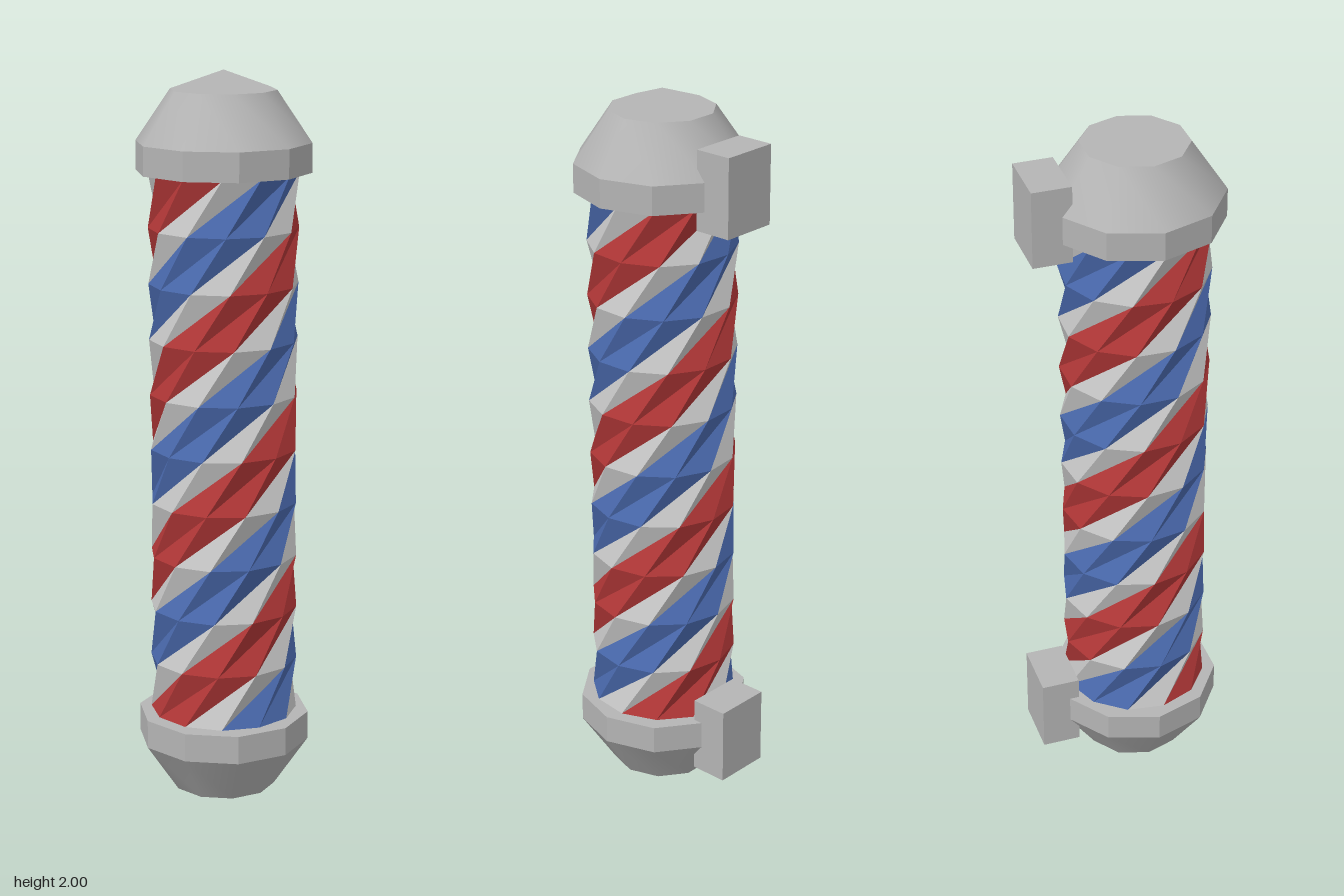
import * as THREE from 'three';
import { toCreasedNormals } from 'three/addons/utils/BufferGeometryUtils.js';

const AXIS_Z = 0.036; // the pole stands slightly forward of its wall brackets

function material(name, color) {
  const m = new THREE.MeshStandardMaterial({ color });
  m.name = name;
  return m;
}

function mesh(name, geometry, mat) {
  const m = new THREE.Mesh(geometry, mat);
  m.name = name;
  return m;
}

// Ten-sided turned form with a corner on the x axis
function turned(profile) {
  const points = profile.map(([r, y]) => new THREE.Vector2(r, y));
  return new THREE.LatheGeometry(points, 10, Math.PI / 2);
}

// End cap: flat underside, upright collar, sloped dome and shallow tip
function endCap(name, mat) {
  const cap = new THREE.Group();
  cap.name = name;
  const body = turned([[0, 0], [0.232, 0], [0.232, 0.077], [0.14, 0.212]]);
  cap.add(mesh('capBody', toCreasedNormals(body, 0.56), mat));
  const tip = turned([[0.14, 0.212], [0, 0.262]]);
  const normals = tip.attributes.normal;
  for (let i = 0; i < normals.count; i++) normals.setXYZ(i, 0, 1, 0);
  cap.add(mesh('capTip', tip, mat));
  return cap;
}

// One colour of the twisted faceted shaft; pattern repeats twice around
function stripe(key) {
  const pattern = 'RRWBBW', columns = 12, rows = 10;
  const radius = 0.198, bottom = 0.268, top = 1.738;
  const start = THREE.MathUtils.degToRad(-83);
  const twist = THREE.MathUtils.degToRad(57);
  const corner = (column, row) => {
    const a = start + column * Math.PI * 2 / columns + row * twist;
    const y = bottom + (top - bottom) * row / rows;
    return [radius * Math.sin(a), y, radius * Math.cos(a)];
  };
  const positions = [];
  for (let row = 0; row < rows; row++) {
    for (let c = 0; c < columns; c++) {
      if (pattern[c % pattern.length] !== key) continue;
      const a = corner(c, row), b = corner(c + 1, row);
      const d = corner(c, row + 1), e = corner(c + 1, row + 1);
      positions.push(...a, ...b, ...d, ...b, ...e, ...d);
    }
  }
  const g = new THREE.BufferGeometry();
  g.setAttribute('position', new THREE.Float32BufferAttribute(positions, 3));
  g.computeVertexNormals();
  return g;
}

export function createModel() {
  const grey = material('metal grey', 0xb4b4b4);
  const white = material('stripe white', 0xc9c9c9);
  const red = material('stripe red', 0xb43838);
  const blue = material('stripe blue', 0x4b6bb0);

  const model = new THREE.Group();
  model.name = 'stripedPole';

  // Twisted shaft
  const shaft = new THREE.Group();
  shaft.name = 'shaft';
  shaft.position.z = AXIS_Z;
  shaft.add(
    mesh('redStripes', stripe('R'), red),
    mesh('whiteStripes', stripe('W'), white),
    mesh('blueStripes', stripe('B'), blue)
  );
  model.add(shaft);

  // Caps at both ends
  const upper = endCap('upperCap', grey);
  upper.position.set(0, 1.738, AXIS_Z);
  const lower = endCap('lowerCap', grey);
  lower.rotation.z = Math.PI;
  lower.position.set(0, 0.262, AXIS_Z);
  model.add(upper, lower);

  // Wall brackets behind the caps
  for (const [name, y] of [['upperBracket', 1.79], ['lowerBracket', 0.217]]) {
    const bracket = mesh(name, new THREE.BoxGeometry(0.16, 0.212, 0.105), grey);
    bracket.position.set(0, y, -0.205);
    model.add(bracket);
  }
  return model;
}
